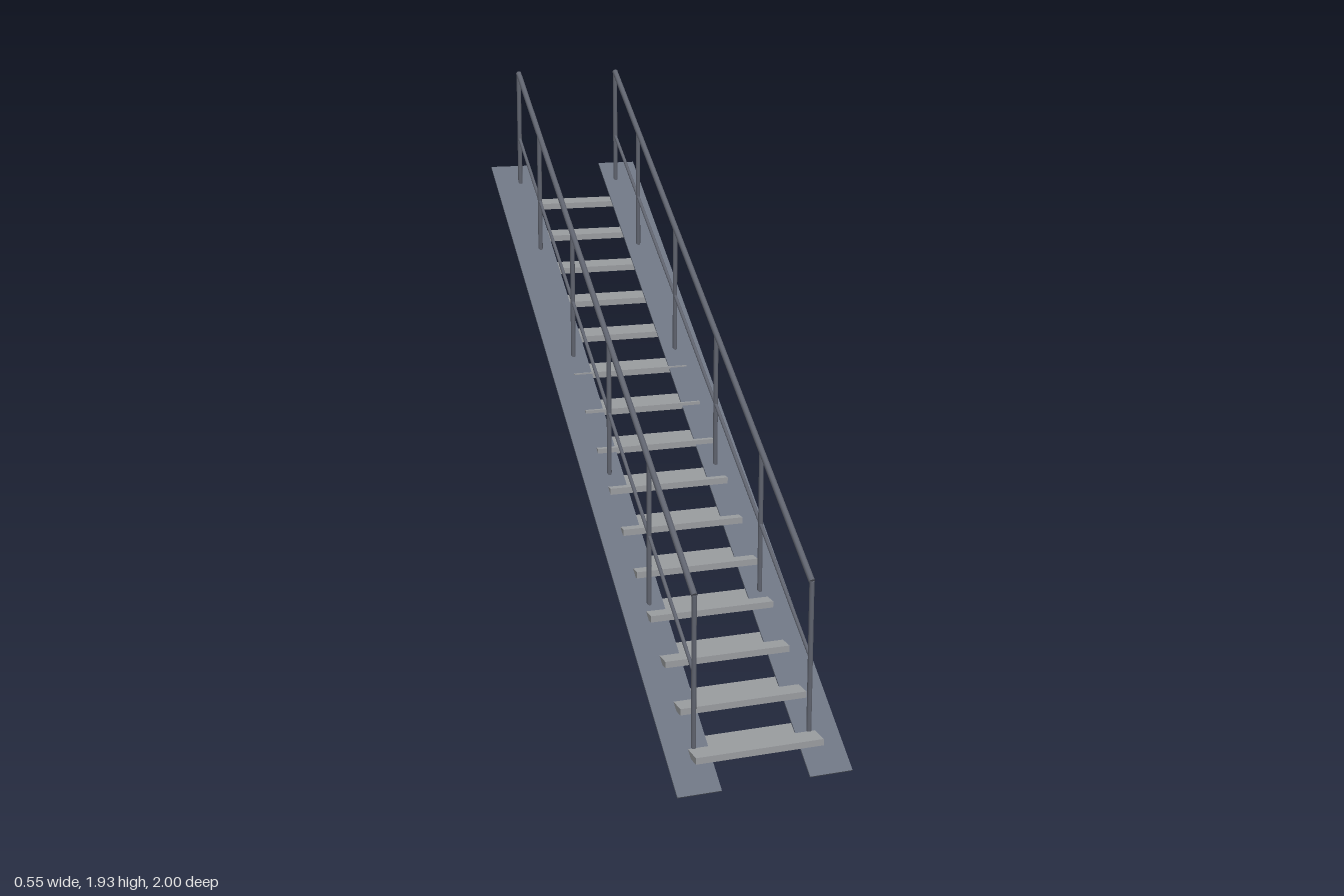
import * as THREE from 'three';

export function createModel() {
  const model = new THREE.Group();
  model.name = 'staircase';

  const material = (name, color) => {
    const m = new THREE.MeshStandardMaterial({ color });
    m.name = name;
    return m;
  };
  const treadGrey = material('tread grey', 0x9a9da0);
  const stringerSteel = material('stringer steel', 0x6b7280);
  const railSteel = material('rail steel', 0x60646f);

  const add = (parent, name, geometry, mat) => {
    const mesh = new THREE.Mesh(geometry, mat);
    mesh.name = name;
    parent.add(mesh);
    return mesh;
  };

  // Round bar between two points
  const bar = (parent, name, a, b, radius) => {
    const dir = b.clone().sub(a);
    const mesh = add(parent, name, new THREE.CylinderGeometry(radius, radius, dir.length(), 8), railSteel);
    mesh.position.copy(a).add(b).multiplyScalar(0.5);
    mesh.quaternion.setFromUnitVectors(new THREE.Vector3(0, 1, 0), dir.normalize());
  };

  // Centre of each tread
  const count = 15;
  const treadY = (i) => 0.083 + (i * 1.36) / (count - 1);
  const treadZ = (i) => 0.885 - (i * 1.817) / (count - 1);

  // Treads
  const treads = new THREE.Group();
  treads.name = 'treads';
  model.add(treads);
  const treadGeometry = new THREE.BoxGeometry(0.4, 0.02, 0.136);
  for (let i = 0; i < count; i++) {
    add(treads, 'tread', treadGeometry, treadGrey).position.set(0, treadY(i), treadZ(i));
  }

  // Flat sloping stringers and railings, one per side
  const rise = 1.575, run = 1.997;
  for (const side of [-1, 1]) {
    const label = side > 0 ? 'left' : 'right';
    const stringer = add(model, label + 'Stringer',
      new THREE.BoxGeometry(0.135, 0.005, Math.hypot(rise, run)), stringerSteel);
    stringer.position.set(side * 0.205, 0.79, 0);
    stringer.rotation.x = Math.atan2(rise, run);

    const railing = new THREE.Group();
    railing.name = label + 'Railing';
    model.add(railing);
    const at = (i, height) => new THREE.Vector3(side * 0.182, treadY(i) + height, treadZ(i));
    for (const i of [0, 3, 6, 9, 12, 14]) {
      bar(railing, 'post', at(i, 0), at(i, 0.475), 0.008);
    }
    bar(railing, 'handrail', at(0, 0.475), at(14, 0.475), 0.01);
    bar(railing, 'midRail', at(0, 0.242), at(14, 0.242), 0.006);
  }
  return model;
}
